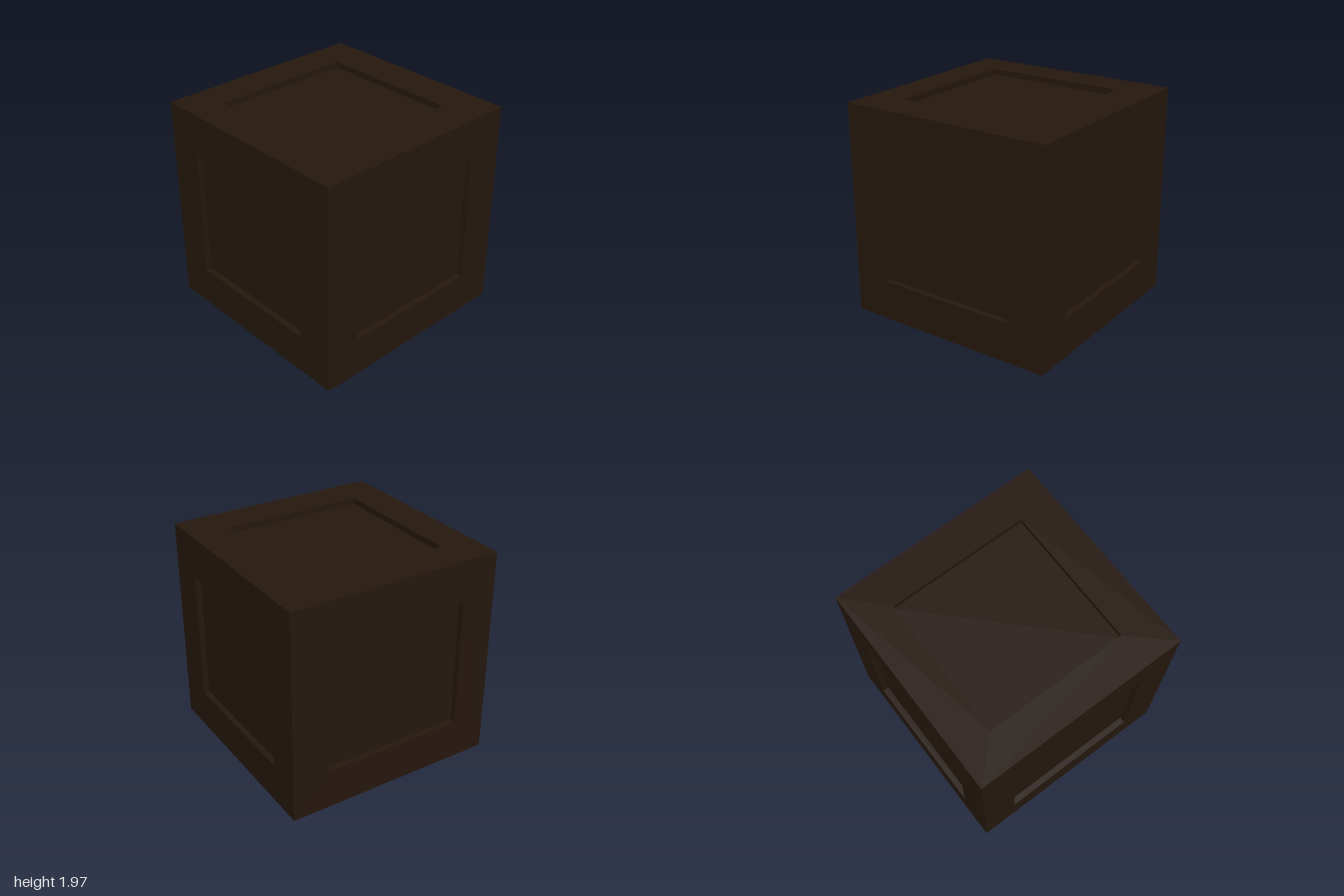
import * as THREE from 'three';

// Extents of the cube and of its recessed panels, per axis [x, y, z]
const OUTER = { lo: [-1, 0, -1], hi: [1, 1.965, 1] };
const PANEL = { lo: [-0.67, 0.37, -0.65], hi: [0.65, 1.59, 0.675] };
const DEPTH = 0.055;

// Four corners of a rectangle lying across an axis, ordered counter-clockwise from outside
function rectangle(axis, side, extents, inset) {
  const u = (axis + 1) % 3, v = (axis + 2) % 3;
  const { lo, hi } = extents;
  const level = side > 0 ? OUTER.hi[axis] - inset : OUTER.lo[axis] + inset;
  const corners = [[lo[u], lo[v]], [hi[u], lo[v]], [hi[u], hi[v]], [lo[u], hi[v]]].map(([a, b]) => {
    const p = [0, 0, 0];
    p[axis] = level;
    p[u] = a;
    p[v] = b;
    return p;
  });
  return side > 0 ? corners : corners.reverse();
}

// Flat-shaded geometry from a list of four-cornered faces
function quadGeometry(quads) {
  const positions = quads.flatMap(([a, b, c, d]) => [a, b, c, a, c, d]).flat();
  const geometry = new THREE.BufferGeometry();
  geometry.setAttribute('position', new THREE.Float32BufferAttribute(positions, 3));
  geometry.computeVertexNormals();
  return geometry;
}

// Band of four quads between two rectangles
function band(outer, inner) {
  return outer.map((p, i) => {
    const j = (i + 1) % 4;
    return [p, outer[j], inner[j], inner[i]];
  });
}

export function createModel() {
  const model = new THREE.Group();
  model.name = 'crate';
  const material = new THREE.MeshStandardMaterial({ color: 0x24170d });
  const names = [['leftSide', 'rightSide'], ['top', 'bottom'], ['front', 'back']];

  for (let axis = 0; axis < 3; axis++) {
    [1, -1].forEach((side, k) => {
      const edge = rectangle(axis, side, OUTER, 0);
      const rim = rectangle(axis, side, PANEL, 0);
      const floor = rectangle(axis, side, PANEL, DEPTH);
      const parts = {
        Frame: band(edge, rim),
        RecessWalls: band(rim, floor),
        Panel: [floor],
      };
      const face = new THREE.Group();
      face.name = names[axis][k];
      for (const [part, quads] of Object.entries(parts)) {
        const mesh = new THREE.Mesh(quadGeometry(quads), material);
        mesh.name = face.name + part;
        face.add(mesh);
      }
      model.add(face);
    });
  }
  return model;
}
